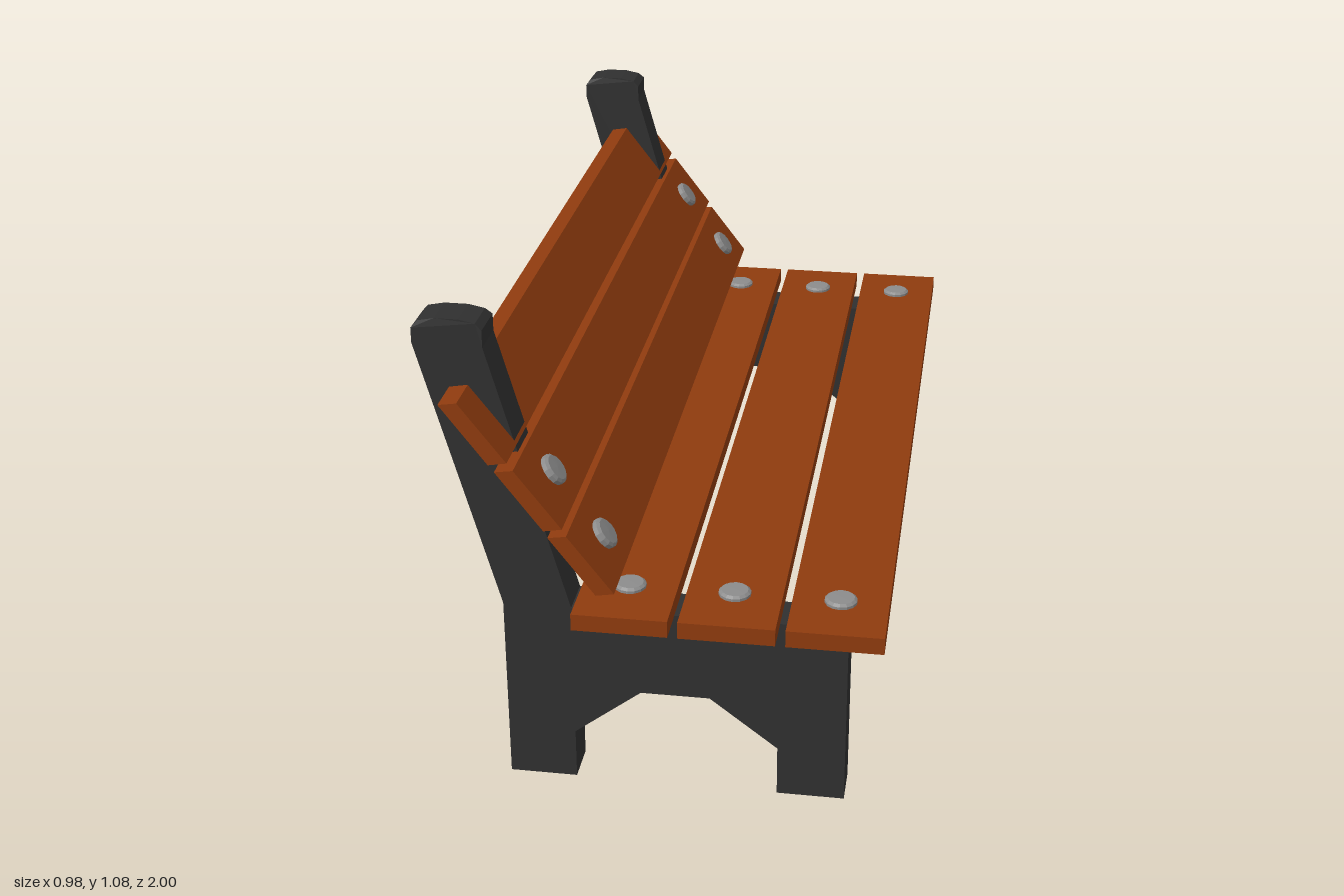
import * as THREE from 'three';

const wood = new THREE.MeshStandardMaterial({ color: 0x8f3b0e, flatShading: true });
const iron = new THREE.MeshStandardMaterial({ color: 0x303030, flatShading: true });
const steel = new THREE.MeshStandardMaterial({ color: 0x8c8c8c, flatShading: true });

// Side profile in x/y, extruded along z and centred on z = 0
function extrudeProfile(points, depth) {
  const shape = new THREE.Shape(points.map(([x, y]) => new THREE.Vector2(x, y)));
  const geometry = new THREE.ExtrudeGeometry(shape, { depth, bevelEnabled: false });
  return geometry.translate(0, 0, -depth / 2);
}

export function createModel() {
  const model = new THREE.Group();
  model.name = 'parkBench';

  const add = (geometry, material, name, x = 0, y = 0, z = 0) => {
    const mesh = new THREE.Mesh(geometry, material);
    mesh.name = name;
    mesh.position.set(x, y, z);
    model.add(mesh);
    return mesh;
  };

  // End frames: legs, arch and leaning back post in one piece
  const frame = extrudeProfile([
    [-0.33, 0], [-0.182, 0], [-0.182, 0.116], [-0.035, 0.23], [0.115, 0.23],
    [0.263, 0.116], [0.263, 0], [0.41, 0], [0.41, 0.43], [-0.182, 0.43],
    [-0.346, 1.023], [-0.346, 1.06], [-0.36, 1.073], [-0.395, 1.08], [-0.445, 1.08],
    [-0.48, 1.073], [-0.493, 1.058], [-0.493, 1.025], [-0.33, 0.43],
  ], 0.092);
  // Narrow the very top of the post slightly
  const p = frame.attributes.position;
  for (let i = 0; i < p.count; i++) if (p.getY(i) > 1.07) p.setZ(i, p.getZ(i) * 0.9);
  frame.computeVertexNormals();

  // Low domed bolt head, axis along y
  const bolt = new THREE.LatheGeometry(
    [[0.035, -0.01], [0.035, 0.006], [0.029, 0.011], [0, 0.012]].map(([r, y]) => new THREE.Vector2(r, y)), 14);

  const sides = [['front', 0.866], ['rear', -0.866]];
  for (const [side, z] of sides) add(frame, iron, side + 'Frame', 0, 0, z);

  // Seat slats
  const seatSlat = new THREE.BoxGeometry(0.204, 0.038, 2);
  [-0.062, 0.163, 0.388].forEach((x, i) => {
    add(seatSlat, wood, 'seatSlat' + (i + 1), x, 0.449, 0);
    for (const [side, z] of sides) add(bolt, steel, side + 'SeatBolt' + (i + 1), x, 0.468, z);
  });

  // Back slats, slanted in section, placed by their top rear corner
  const backSlat = extrudeProfile([[0, 0], [0.097, -0.128], [0.136, -0.121], [0.039, 0.006]], 2);
  [[-0.42, 0.932], [-0.311, 0.789], [-0.206, 0.646]].forEach(([x, y], i) => {
    add(backSlat, wood, 'backSlat' + (i + 1), x, y, 0);
    for (const [side, z] of sides) {
      const head = add(bolt, steel, side + 'BackBolt' + (i + 1), x + 0.091, y - 0.055, z);
      head.rotation.z = -Math.atan2(0.127, 0.097);
    }
  });

  return model;
}
